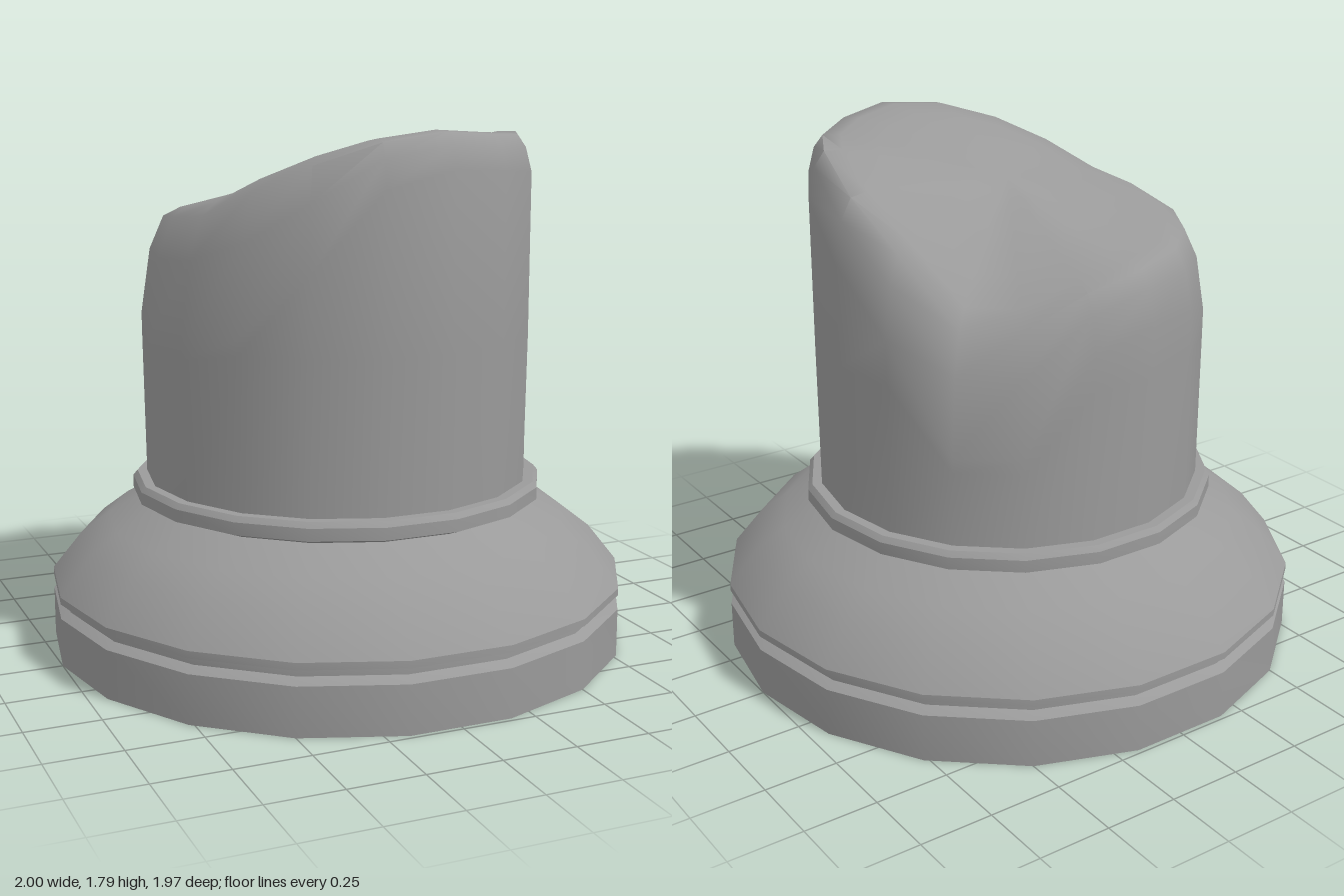
import * as THREE from 'three';
import { toCreasedNormals } from 'three/addons/utils/BufferGeometryUtils.js';

const SIDES = 18;
const material = new THREE.MeshStandardMaterial({ color: 0x9a9a9a });

// Turned part from [radius, height] points
function turned(name, points) {
  const profile = points.map(([r, y]) => new THREE.Vector2(r, y));
  const geometry = new THREE.LatheGeometry(profile, SIDES, Math.PI / 2);
  const mesh = new THREE.Mesh(toCreasedNormals(geometry, 0.5), material);
  mesh.name = name;
  return mesh;
}

// Broken shaft: straight wall, worn rim of varying height, sloping broken top
function brokenShaft() {
  // Every 20 degrees from +x towards +z: rim height, and how far down the wear reaches
  const rim = [1.67, 1.77, 1.77, 1.78, 1.795, 1.77, 1.71, 1.63, 1.54,
    1.52, 1.5, 1.49, 1.48, 1.46, 1.42, 1.31, 1.31, 1.53];
  const wear = [0.22, 0.16, 0.13, 0.12, 0.12, 0.15, 0.35, 0.48, 0.43,
    0.42, 0.35, 0.3, 0.22, 0.18, 0.2, 0.42, 0.42, 0.28];
  const slope = (x, z) => 1.63 + 0.05 * x + 0.25 * z;
  const rings = [];
  const ring = (rule) => rings.push(rim.map((h, k) => {
    const a = (k / SIDES) * Math.PI * 2;
    const [r, y] = rule(h, wear[k], a);
    return [r * Math.cos(a), y, r * Math.sin(a)];
  }));

  // The wall leans out slightly at the front; deeper wear cuts further in
  const wallRadius = (a) => 0.668 + 0.012 * Math.sin(a) - 0.007 * Math.cos(a);
  const inset = (w) => 0.035 + 0.13 * w;
  ring(() => [0.663, 0.56]);
  ring((h, w, a) => [wallRadius(a), Math.min(1.1, h - w - 0.05)]);
  ring((h, w, a) => [wallRadius(a), h - w]);
  ring((h, w, a) => [wallRadius(a) - inset(w) * 0.4, h - w * 0.38]);
  ring((h, w, a) => [wallRadius(a) - inset(w), h - w * 0.06]);
  // Top surface blends from the rim into the main slope
  for (const t of [0.9, 0.7, 0.45, 0.2]) {
    ring((h, w, a) => {
      const r = (wallRadius(a) - inset(w)) * t;
      const plane = slope(r * Math.cos(a), r * Math.sin(a));
      return [r, THREE.MathUtils.lerp(plane, h, t ** 1.5)];
    });
  }

  const positions = rings.flat(2);
  positions.push(0, slope(0, 0), 0);
  const index = [];
  for (let i = 0; i < rings.length; i++) {
    for (let j = 0; j < SIDES; j++) {
      const n = (j + 1) % SIDES;
      const a = i * SIDES + j, d = i * SIDES + n;
      if (i === rings.length - 1) index.push(a, rings.length * SIDES, d);
      else index.push(a, a + SIDES, d, a + SIDES, d + SIDES, d);
    }
  }
  const geometry = new THREE.BufferGeometry();
  geometry.setAttribute('position', new THREE.Float32BufferAttribute(positions, 3));
  geometry.setIndex(index);
  const mesh = new THREE.Mesh(toCreasedNormals(geometry, 0.9), material);
  mesh.name = 'brokenShaft';
  return mesh;
}

export function createModel() {
  const group = new THREE.Group();
  group.name = 'brokenColumn';

  // Plinth with a shallow groove, then the domed foot
  group.add(turned('foot', [
    [0, 0], [1, 0], [1, 0.165], [0.968, 0.185], [0.968, 0.212], [1, 0.216],
    [1, 0.24], [0.9, 0.365], [0.8, 0.44], [0.67, 0.512], [0.6, 0.512],
  ]));

  // Ring around the bottom of the shaft
  group.add(turned('collar', [
    [0.6, 0.51], [0.665, 0.512], [0.712, 0.53], [0.712, 0.572], [0.697, 0.59], [0.6, 0.59],
  ]));

  group.add(brokenShaft());
  return group;
}
